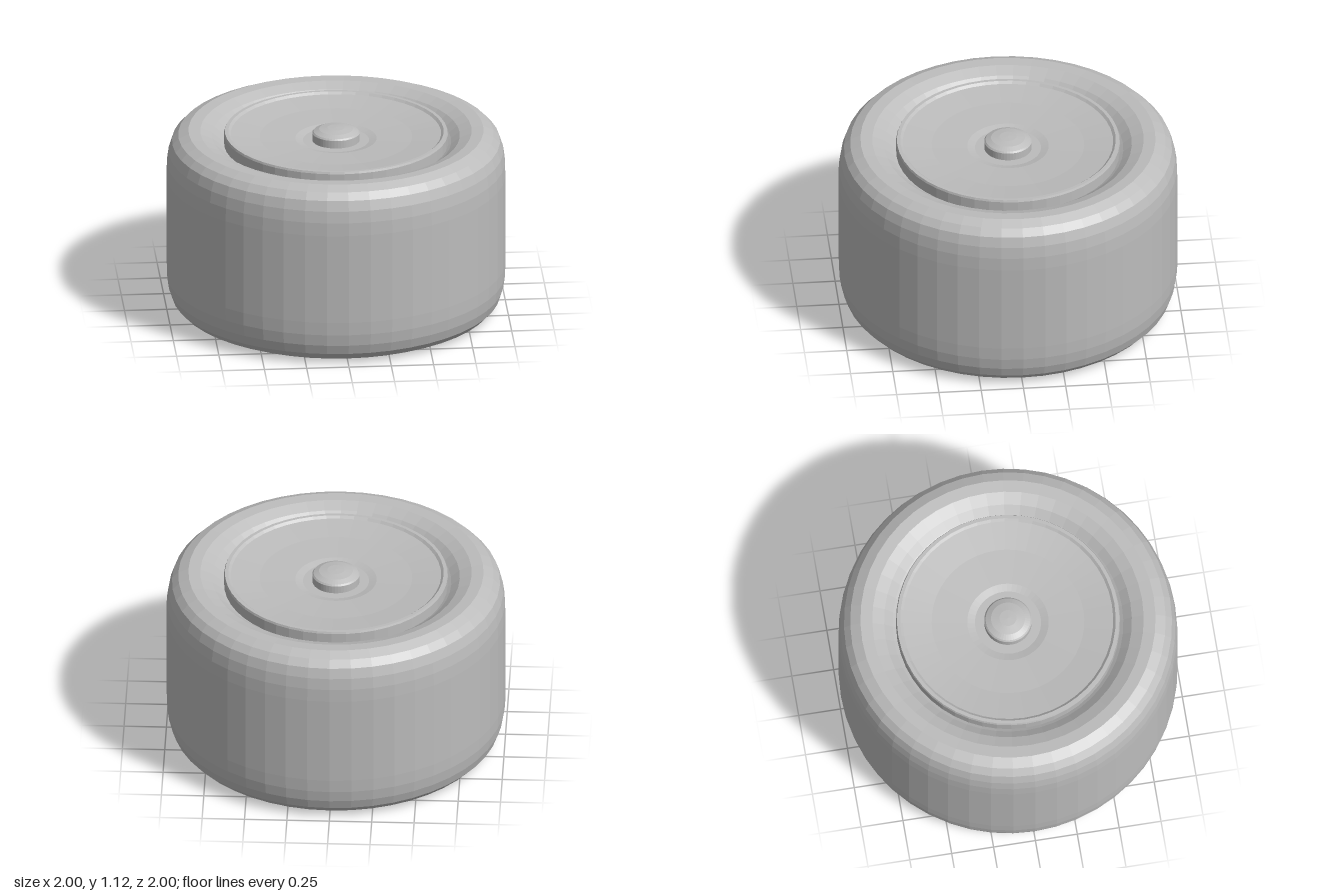
import * as THREE from 'three';

const SEGMENTS = 48;
const HEIGHT = 1.11;

export function createModel() {
  const model = new THREE.Group();
  model.name = 'wheel';
  const grey = new THREE.MeshStandardMaterial({ color: 0xbcbcbc, flatShading: true });
  grey.name = 'plain grey';

  // Revolves [radius, y] points, listed from the bottom outward and up
  const revolve = (name, points) => {
    const profile = points.map(([r, y]) => new THREE.Vector2(r, y));
    const mesh = new THREE.Mesh(new THREE.LatheGeometry(profile, SEGMENTS), grey);
    mesh.name = name;
    model.add(mesh);
  };

  // Tyre: one rounded shoulder, mirrored top to bottom, closed through the bore
  const shoulder = [
    [0.64, 0.1], [0.68, 0.075], [0.73, 0.035], [0.8, 0.007], [0.87, 0.003],
    [0.93, 0.03], [0.967, 0.07], [0.987, 0.13], [0.997, 0.2], [1, 0.28],
  ];
  const upper = shoulder.map(([r, y]) => [r, HEIGHT - y]).reverse();
  revolve('tyre', [[0.81, 0], ...shoulder.slice(4), ...upper, [0.64, 0.1], ...shoulder.slice(1, 4), [0.81, 0]]);

  // Upper wheel disc: raised lip, shallow dish and hub seat
  revolve('upperDisc', [
    [0.66, 1.0], [0.66, 1.088], [0.655, 1.1], [0.635, 1.1],
    [0.62, 1.087], [0.45, 1.066], [0.24, 1.056], [0.195, 1.045], [0, 1.045],
  ]);

  // Lower wheel disc: projecting lip and a conical recess with a flat floor
  revolve('lowerDisc', [
    [0, 0.085], [0.47, 0.085], [0.645, 0.012], [0.655, 0.01], [0.66, 0.02], [0.66, 0.11],
  ]);

  // Domed hub cap
  revolve('hubCap', [
    [0.14, 1.04], [0.14, 1.092], [0.132, 1.101], [0.1, 1.115], [0.05, 1.123], [0, 1.125],
  ]);

  return model;
}
